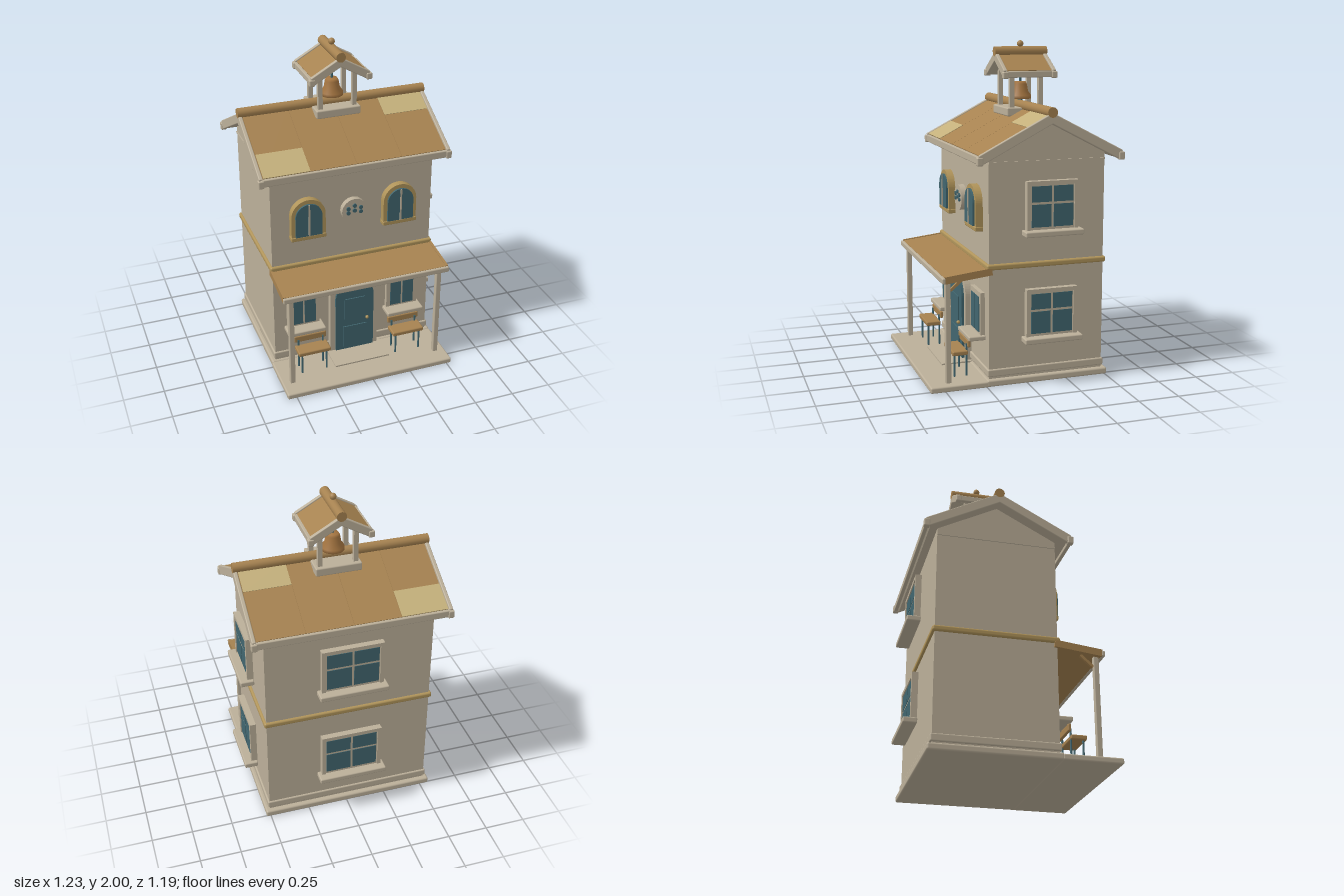
import * as THREE from 'three';
import { RoundedBoxGeometry } from 'three/addons/geometries/RoundedBoxGeometry.js';

const mat = (name, color) => {
  const m = new THREE.MeshStandardMaterial({ color });
  m.name = name;
  return m;
};

export function createModel() {
  const plaster = mat('plaster', 0xbbaf99), wood = mat('wood', 0xa68250), paleWood = mat('pale wood', 0xc4b07b);
  const gold = mat('gold trim', 0xb0945a), teal = mat('teal', 0x41666f), bronze = mat('bronze', 0xa37440);
  const root = new THREE.Group();
  root.name = 'house';
  const CX = -0.014, CZ = -0.125;
  root.position.x = CX;

  const add = (parent, name, geo, m, x = 0, y = 0, z = 0) => {
    const mesh = new THREE.Mesh(geo, m);
    mesh.name = name;
    mesh.position.set(x, y, z);
    parent.add(mesh);
    return mesh;
  };
  // box given by its extents [min, max] on each axis
  const box = (parent, name, m, [x0, x1], [y0, y1], [z0, z1], r = 0) => {
    const s = [x1 - x0, y1 - y0, z1 - z0];
    const geo = r ? new RoundedBoxGeometry(...s, 2, r) : new THREE.BoxGeometry(...s);
    return add(parent, name, geo, m, (x0 + x1) / 2, (y0 + y1) / 2, (z0 + z1) / 2);
  };
  const group = (parent, name, x = 0, y = 0, z = 0) => {
    const g = new THREE.Group();
    g.name = name;
    g.position.set(x, y, z);
    parent.add(g);
    return g;
  };
  const rod = (parent, name, m, r, len, axis, x, y, z) => {
    const c = add(parent, name, new THREE.CylinderGeometry(r, r, len, 16), m, x, y, z);
    if (axis === 'x') c.rotation.z = Math.PI / 2;
    if (axis === 'z') c.rotation.x = Math.PI / 2;
    return c;
  };
  // round-topped outline standing on y0
  const arch = (S, w, y0, y1) => {
    const s = new S();
    s.moveTo(-w, y0);
    s.lineTo(w, y0);
    s.lineTo(w, y1 - w);
    s.absarc(0, y1 - w, w, 0, Math.PI, false);
    s.closePath();
    return s;
  };
  const extrude = (shape, depth) => new THREE.ExtrudeGeometry(shape, { depth, bevelEnabled: false, curveSegments: 16 });

  // walls with gables
  const gable = new THREE.Shape();
  [[-0.357, 0.04], [0.357, 0.04], [0.357, 1.37], [0, 1.555], [-0.357, 1.37]].forEach(([a, b], i) =>
    i ? gable.lineTo(a, b) : gable.moveTo(a, b));
  add(root, 'walls', extrude(gable, 1.03), plaster, -0.515, 0, CZ).rotation.y = Math.PI / 2;
  root.getObjectByName('walls').position.x = -0.515;
  box(root, 'foundation', plaster, [-0.542, 0.542], [0, 0.042], [-0.512, 0.25], 0.012);
  box(root, 'skirting', plaster, [-0.525, 0.525], [0.055, 0.1], [-0.492, 0.242], 0.008);
  box(root, 'floorBand', gold, [-0.53, 0.53], [0.7, 0.735], [-0.497, 0.247], 0.012);
  for (const s of [-1, 1]) box(root, 'gableTrim', plaster, [s * 0.517 - 0.004, s * 0.517 + 0.004], [1.318, 1.33], [-0.482, 0.232]);

  // pitched roof with its ridge along x
  function pitchedRoof(g, run, slope, length, t, r, cap) {
    const a = Math.atan(slope), d = run / Math.cos(a), h = length / 2;
    for (const s of [-1, 1]) {
      const side = group(g, 'roofSlope');
      side.rotation.x = s * a;
      const zr = (p, q) => (s > 0 ? [p, q] : [-q, -p]);
      box(side, 'roofLining', plaster, [-h, h], [-t * 1.7, -t], zr(0, d));
      const n = cap ? 4 : 1, w = (length - 0.03) / n;
      for (let i = 0; i < n; i++) {
        const x = -h + 0.015 + i * w;
        box(side, 'roofPanel', wood, [x + 0.001, x + w - 0.001], [-t, 0], zr(0, d - 0.004));
        if (cap && i === 0) box(side, 'palePatch', paleWood, [x + 0.001, x + w - 0.001], [-0.002, 0.003], zr(0.31, d - 0.004));
        if (cap && i === 3) box(side, 'palePatch', paleWood, [x + 0.001, x + w - 0.001], [-0.002, 0.003], zr(0, 0.16));
      }
      for (const e of [-1, 1]) {
        box(side, 'gableBoard', plaster, [e * h - 0.012, e * h + 0.012], [-t * 1.8, 0.007], zr(0, d + 0.006), 0.006);
        box(g, 'eaveBlock', plaster, [e * h - 0.018, e * h + 0.018],
          [-run * slope - t * 1.9, -run * slope - 0.005], [s * run - 0.018, s * run + 0.018], 0.007);
      }
      box(g, 'eaveBeam', plaster, [-h, h], [-run * slope - t * 1.7, -run * slope - 0.002], [s * run - 0.012, s * run + 0.012], 0.006);
    }
    rod(g, 'ridge', wood, r, length + 0.025, 'x', 0, r * 0.3, 0);
  }
  pitchedRoof(group(root, 'mainRoof', 0, 1.6, CZ), 0.432, 0.52, 1.168, 0.028, 0.03, true);

  // bell tower
  const tower = group(root, 'bellTower', 0, 0, -0.136);
  box(tower, 'towerBase', plaster, [-0.14, 0.14], [1.548, 1.6], [-0.13, 0.13], 0.008);
  for (const x of [-0.108, 0.108]) for (const z of [-0.092, 0.092])
    box(tower, 'towerPost', plaster, [x - 0.014, x + 0.014], [1.59, 1.85], [z - 0.014, z + 0.014]);
  const cap = group(tower, 'towerRoof', 0, 1.925, 0);
  cap.rotation.y = Math.PI / 2;
  pitchedRoof(cap, 0.178, 0.57, 0.31, 0.024, 0.03, false);
  add(tower, 'finial', new THREE.SphereGeometry(0.02, 16, 10), wood, 0, 1.98, 0);
  rod(tower, 'bellBeam', plaster, 0.012, 0.22, 'x', 0, 1.82, 0);
  rod(tower, 'bellRod', teal, 0.008, 0.1, 'y', 0, 1.79, 0);
  const profile = [[0, 1.752], [0.034, 1.75], [0.042, 1.735], [0.05, 1.69], [0.068, 1.665], [0.07, 1.645], [0.058, 1.645], [0.036, 1.72], [0, 1.73]];
  add(tower, 'bell', new THREE.LatheGeometry(profile.map(([x, y]) => new THREE.Vector2(x, y)).reverse(), 24), bronze);
  add(tower, 'clapper', new THREE.SphereGeometry(0.016, 12, 8), teal, 0, 1.642, 0);

  // porch
  box(root, 'porchFloor', plaster, [-0.544, 0.544], [0, 0.036], [0.24, 0.592], 0.01);
  box(root, 'doorStep', plaster, [-0.18, 0.18], [0.03, 0.045], [0.23, 0.43]);
  const pr = group(root, 'porchRoof', 0, 0.7, 0.215);
  pr.rotation.x = 0.115;
  box(pr, 'porchSheet', wood, [-0.515, 0.515], [-0.022, 0.012], [0, 0.285]);
  box(root, 'porchBeam', plaster, [-0.532, 0.532], [0.642, 0.678], [0.492, 0.515], 0.008);
  for (const s of [-1, 1]) {
    box(pr, 'porchEdge', wood, [s * 0.522 - 0.008, s * 0.522 + 0.008], [-0.026, 0.016], [0, 0.285]);
    box(root, 'porchPost', plaster, [s * 0.478 - 0.016, s * 0.478 + 0.016], [0.03, 0.66], [0.455, 0.487], 0.005);
    const brace = box(root, 'porchBrace', wood, [s * 0.478 - 0.009, s * 0.478 + 0.009], [0.615, 0.631], [0.367, 0.467]);
    brace.rotation.x = 0.72;
  }

  // door
  const ring = (wo, y0, y1, wi, yi0, yi1) => {
    const s = arch(THREE.Shape, wo, y0, y1);
    s.holes.push(arch(THREE.Path, wi, yi0, yi1));
    return s;
  };
  const door = group(root, 'door', 0, 0, 0.225);
  add(door, 'doorFrame', extrude(ring(0.158, 0.046, 0.61, 0.126, 0.05, 0.562), 0.045), plaster);
  add(door, 'doorLeaf', extrude(arch(THREE.Shape, 0.126, 0.05, 0.562), 0.06), teal);
  box(door, 'upperPanel', teal, [-0.068, 0.068], [0.28, 0.43], [0.055, 0.067]);
  box(door, 'lowerPanel', teal, [-0.08, 0.08], [0.075, 0.225], [0.055, 0.067]);
  add(door, 'doorKnob', new THREE.SphereGeometry(0.011, 12, 8), gold, 0.08, 0.27, 0.07);

  for (const s of [-1, 1]) {
    // ground-floor front windows
    const w = group(root, 'frontWindow', s * 0.33, 0, 0.23);
    box(w, 'frame', plaster, [-0.104, 0.104], [0.28, 0.545], [0, 0.028]);
    for (const p of [-1, 1]) box(w, 'pane', teal, [p * 0.042 - 0.036, p * 0.042 + 0.036], [0.3, 0.515], [0.026, 0.032]);
    box(w, 'sill', plaster, [-0.122, 0.122], [0.26, 0.288], [0, 0.105], 0.008);

    // benches
    const b = group(root, 'bench', s * 0.313, 0, 0);
    box(b, 'seat', wood, [-0.104, 0.104], [0.168, 0.196], [0.33, 0.425], 0.008);
    box(b, 'backrest', wood, [-0.104, 0.104], [0.214, 0.258], [0.313, 0.333], 0.007);
    for (const x of [-0.08, 0.08]) {
      rod(b, 'frontLeg', teal, 0.006, 0.14, 'y', x, 0.104, 0.408);
      rod(b, 'backLeg', teal, 0.006, 0.2, 'y', x, 0.134, 0.335);
    }

    // arched upper windows
    const u = group(root, 'archedWindow', s * 0.293, 0, 0.225);
    add(u, 'archFrame', extrude(ring(0.107, 0.91, 1.175, 0.083, 0.938, 1.15), 0.05), gold);
    add(u, 'archGlass', extrude(arch(THREE.Shape, 0.083, 0.938, 1.15), 0.062), teal);
    box(u, 'mullion', plaster, [-0.005, 0.005], [0.938, 1.148], [0.055, 0.068]);
    box(u, 'archSill', gold, [-0.11, 0.11], [0.908, 0.936], [0, 0.055], 0.006);
  }

  // round wall ornament with studs
  const rosette = group(root, 'rosette', 0, 1.045, 0.245);
  rod(rosette, 'rosetteDisc', plaster, 0.08, 0.045, 'z', 0, 0, 0);
  for (const [x, y] of [[-0.04, 0.02], [0, 0.036], [0.04, 0.02], [-0.04, -0.008], [0, 0.004], [0.04, -0.008]])
    rod(rosette, 'stud', teal, 0.013, 0.012, 'z', x, y, 0.024);

  // four-pane windows set off the wall, facing local +z
  const paneWindow = (g, hw, y) => {
    box(g, 'frame', plaster, [-hw, hw], [y, y + 0.285], [0, 0.03]);
    const pw = hw - 0.03;
    for (const s of [-1, 1]) for (const [a, b] of [[0.015, 0.148], [0.162, 0.255]])
      box(g, 'pane', teal, s > 0 ? [0.007, pw] : [-pw, -0.007], [y + a, y + b], [0.028, 0.033]);
    for (const s of [-1, 1])
      box(g, 'casing', plaster, [s * (hw - 0.012) - 0.012, s * (hw - 0.012) + 0.012], [y, y + 0.285], [0, 0.038]);
    box(g, 'head', plaster, [-hw, hw], [y + 0.261, y + 0.285], [0, 0.038]);
    box(g, 'sill', plaster, [-hw - 0.022, hw + 0.022], [y - 0.034, y], [0, 0.084], 0.008);
  };
  for (const y of [0.295, 0.932]) {
    const side = group(root, 'sideWindow', 0.525 - CX, 0, -0.138);
    side.rotation.y = Math.PI / 2;
    paneWindow(side, 0.158, y);
    const back = group(root, 'backWindow', 0, 0, -0.512);
    back.rotation.y = Math.PI;
    paneWindow(back, 0.19, y);
  }
  return root;
}
